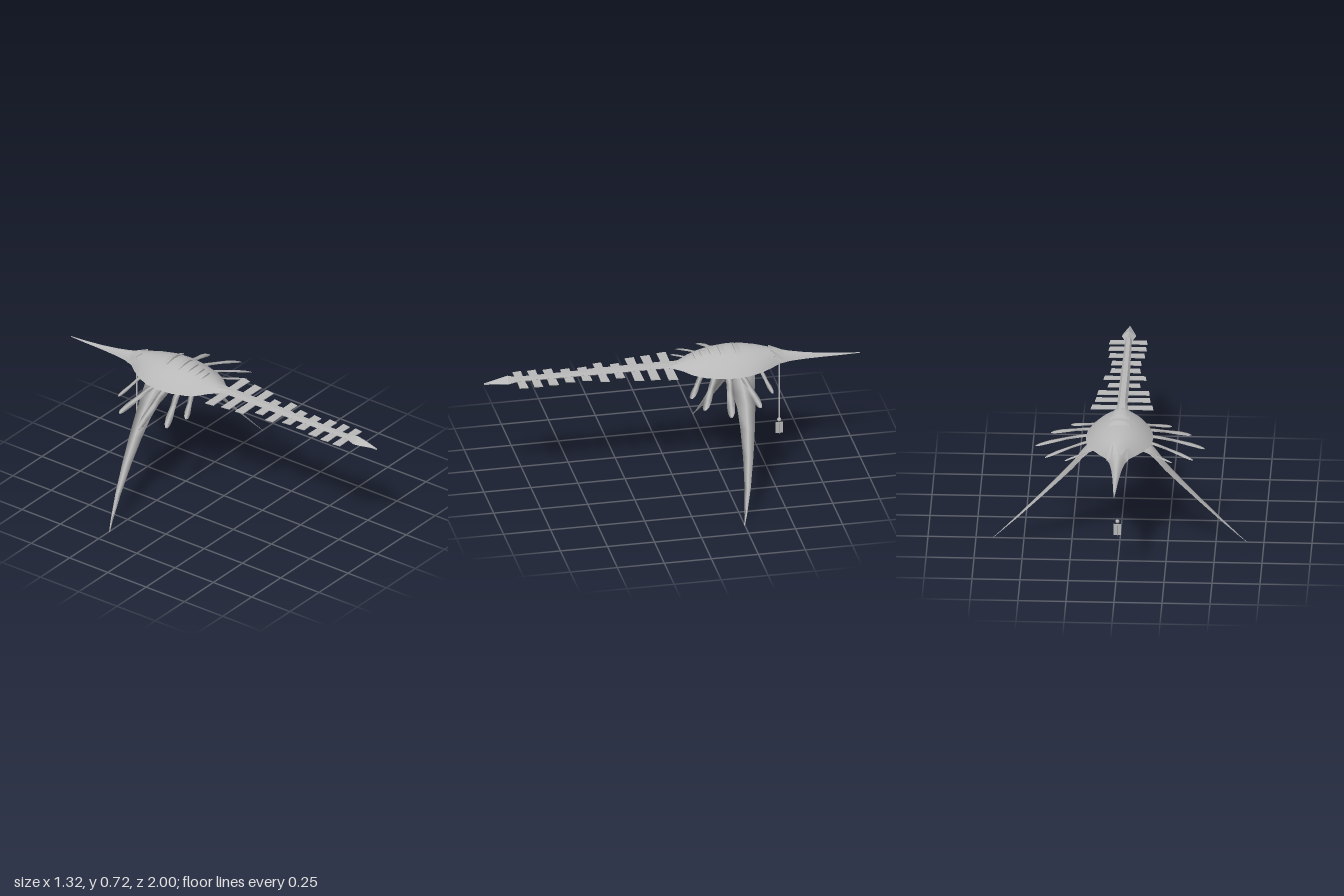
import * as THREE from 'three';

// Skin a row of cross-sections; creased = flat facets, otherwise smooth
function loft(rings, { closed = true, caps = false, flat = false } = {}) {
  const n = rings[0].length, pos = rings.flat(2), idx = [];
  for (let i = 0; i < rings.length - 1; i++) {
    for (let j = 0; j < (closed ? n : n - 1); j++) {
      const a = i * n + j, b = i * n + (j + 1) % n;
      idx.push(a, b, a + n, b, b + n, a + n);
    }
  }
  if (caps) {
    const e = (rings.length - 1) * n;
    for (let j = 1; j < n - 1; j++) idx.push(0, j + 1, j, e, e + j, e + j + 1);
  }
  let g = new THREE.BufferGeometry();
  g.setAttribute('position', new THREE.Float32BufferAttribute(pos, 3));
  g.setIndex(idx);
  if (flat) g = g.toNonIndexed();
  g.computeVertexNormals();
  return g;
}

// Body and snout stations: z, half width, top, side edge, belly
const BODY = [
  [-1.0, 0.002, 0.608, 0.606, 0.604], [-0.9, 0.009, 0.614, 0.607, 0.603],
  [-0.8, 0.016, 0.624, 0.61, 0.604], [-0.7, 0.026, 0.639, 0.613, 0.606],
  [-0.62, 0.039, 0.655, 0.615, 0.608], [-0.56, 0.06, 0.671, 0.615, 0.606],
  [-0.51, 0.1, 0.685, 0.615, 0.6], [-0.45, 0.14, 0.699, 0.614, 0.592],
  [-0.38, 0.168, 0.71, 0.613, 0.587], [-0.3, 0.176, 0.715, 0.612, 0.585],
  [-0.22, 0.168, 0.708, 0.613, 0.587], [-0.15, 0.146, 0.693, 0.615, 0.594],
  [-0.09, 0.112, 0.673, 0.62, 0.606], [-0.045, 0.068, 0.653, 0.627, 0.618],
  [0, 0.034, 0.648, 0.63, 0.624],
];

function bodyTop(x, z) {
  let i = 0;
  while (i < BODY.length - 2 && BODY[i + 1][0] < z) i++;
  const a = BODY[i], b = BODY[i + 1], t = (z - a[0]) / (b[0] - a[0]);
  const [, w, top, edge] = a.map((v, k) => THREE.MathUtils.lerp(v, b[k], t));
  return edge + (top - edge) * Math.max(0, 1 - (x / w) ** 2);
}

// Thin lens-section blade; stations: x, y, front z, back z, half thickness
function blade(stations) {
  return loft(stations.map(([x, y, z0, z1, t], i) => {
    const p = stations[Math.max(0, i - 1)], q = stations[Math.min(stations.length - 1, i + 1)];
    const d = Math.hypot(q[0] - p[0], q[1] - p[1]);
    const nx = -(q[1] - p[1]) / d * t, ny = (q[0] - p[0]) / d * t, m = (z0 + z1) / 2;
    return [[x, y, z0], [x + nx, y + ny, m], [x, y, z1], [x - nx, y - ny, m]];
  }), { caps: true });
}

export function createModel() {
  const model = new THREE.Group();
  const grey = new THREE.MeshStandardMaterial({ color: 0xb8b8b8, side: THREE.DoubleSide });
  grey.name = 'grey';
  const add = (name, geometry, parent = model) => {
    const mesh = new THREE.Mesh(geometry, grey);
    mesh.name = name;
    parent.add(mesh);
    return mesh;
  };

  // Domed shell and shallow belly, both running out into the long snout
  const arc = (s, from, to, y) => Array.from({ length: 17 }, (_, j) => {
    const u = Math.cos(from + (to - from) * j / 16);
    return [s[1] * u, s[3] + (s[y] - s[3]) * (1 - u * u), s[0]];
  });
  add('shell', loft(BODY.map(s => arc(s, 0, Math.PI, 2)), { closed: false }));
  add('belly', loft(BODY.map(s => arc(s, Math.PI, 2 * Math.PI, 4)), { closed: false }));

  // Raised scales across the back
  for (const [z, w] of [[-0.33, 0.068], [-0.25, 0.065], [-0.2, 0.05], [-0.155, 0.042], [-0.12, 0.04]]) {
    const rings = [];
    for (let j = 0; j <= 8; j++) {
      const u = j / 4 - 1, x = u * w, zb = z + 0.008 * (1 - u * u);
      const y = bodyTop(x, zb);
      rings.push([
        [x, bodyTop(x, zb - 0.035) - 0.002, zb - 0.035],
        [x, y + 0.01 * (1 - u * u), zb],
        [x, y - 0.01, zb],
      ]);
    }
    add('backScale', loft(rings, { flat: true }));
  }

  // Jagged rear rim of the skull
  const jag = [[-0.055, -0.53], [-0.042, -0.545], [-0.024, -0.515], [0, -0.545],
    [0.024, -0.515], [0.042, -0.545], [0.055, -0.53]];
  add('skullRim', loft(jag.map(([x, z]) => [
    [x, bodyTop(x, -0.59) + 0.001, -0.59],
    [x, bodyTop(x, z) + 0.01, z],
    [x, bodyTop(x, z) - 0.008, z],
  ]), { flat: true }));

  // Tail shaft
  const tail = [[-0.03, 0.035, 0.65], [0.05, 0.027, 0.655], [0.44, 0.025, 0.654], [0.45, 0.023, 0.65], [0.88, 0.017, 0.648]];
  add('tailShaft', loft(tail.map(([z, w, top]) => [
    [w, 0.634, z], [w * 0.5, top, z], [-w * 0.5, top, z],
    [-w, 0.634, z], [-w * 0.5, 0.624, z], [w * 0.5, 0.624, z],
  ]), { caps: true, flat: true }));

  // Spear-shaped tail tip
  const spear = [[0.82, 0.018, 0.649], [0.875, 0.038, 0.664], [0.91, 0.03, 0.655], [1.0, 0.001, 0.63]];
  add('tailTip', loft(spear.map(([z, w, top]) => [
    [w, 0.632, z], [0, top, z], [-w, 0.632, z], [0, 0.623, z],
  ]), { caps: true, flat: true }));

  // Paired flat tail fins: centre z, reach, depth
  const fins = [[0.025, 0.163, 0.05], [0.115, 0.145, 0.05], [0.2, 0.137, 0.05], [0.29, 0.086, 0.048],
    [0.377, 0.112, 0.046], [0.465, 0.08, 0.05], [0.555, 0.08, 0.05], [0.645, 0.095, 0.05],
    [0.728, 0.1, 0.046], [0.806, 0.1, 0.046]];

  // Ribs: root x, root z, tip x, tip z, width
  const ribs = [[0.1, -0.445, 0.28, -0.477, 0.026], [0.11, -0.335, 0.385, -0.39, 0.042],
    [0.11, -0.28, 0.44, -0.225, 0.044], [0.1, -0.215, 0.365, -0.1, 0.044], [0.07, -0.15, 0.262, -0.05, 0.038]];
  const ribShape = [[0, 0.7], [0.3, 0.85], [0.5, 0.75], [0.78, 1], [0.93, 0.8], [1, 0.3]];

  for (const side of [1, -1]) {
    const half = new THREE.Group();
    half.name = side > 0 ? 'leftSide' : 'rightSide';
    half.scale.x = side;
    model.add(half);

    // Long swept wing reaching down to the ground
    add('wing', blade([
      [0.08, 0.618, -0.43, -0.22, 0.01], [0.14, 0.592, -0.412, -0.255, 0.014],
      [0.19, 0.54, -0.4, -0.28, 0.014], [0.24, 0.476, -0.393, -0.296, 0.011],
      [0.32, 0.385, -0.374, -0.297, 0.008], [0.42, 0.272, -0.345, -0.29, 0.006],
      [0.53, 0.147, -0.308, -0.275, 0.004], [0.62, 0.045, -0.27, -0.257, 0.002],
      [0.66, 0, -0.25, -0.245, 0.001],
    ]), half);

    for (const [x0, z0, x1, z1, w] of ribs) {
      add('rib', blade(ribShape.map(([t, k]) => {
        const x = x0 + (x1 - x0) * t, z = z0 + (z1 - z0) * t;
        const y = 0.622 - 0.1 * t * t * (x1 / 0.44) - 0.03 * Math.sin(Math.PI * t) * 0.5;
        return [x, y, z - w * k / 2, z + w * k / 2, 0.005 * k];
      })), half);
    }

    for (const [z, reach, depth] of fins) {
      const s = new THREE.Shape([
        new THREE.Vector2(0.012, -z - depth * 0.45), new THREE.Vector2(reach - 0.006, -z - depth / 2),
        new THREE.Vector2(reach, -z + depth / 2), new THREE.Vector2(0.012, -z + depth * 0.45),
      ]);
      const g = new THREE.ExtrudeGeometry(s, { depth: 0.004, bevelEnabled: false });
      add('tailFin', g.rotateX(-Math.PI / 2).translate(0, 0.629, 0), half);
    }
  }

  // Lantern hanging from the snout on a flat cord
  const lantern = new THREE.Group();
  lantern.name = 'lantern';
  lantern.position.z = -0.57;
  model.add(lantern);
  add('cord', new THREE.PlaneGeometry(0.008, 0.36).rotateY(Math.PI / 2), lantern).position.y = 0.44;
  add('knob', new THREE.SphereGeometry(0.011, 10, 8), lantern).position.y = 0.26;
  for (const turn of [0, Math.PI / 2]) {
    add('lanternPanel', new THREE.PlaneGeometry(0.04, 0.064).rotateY(turn), lantern).position.y = 0.214;
  }
  return model;
}
